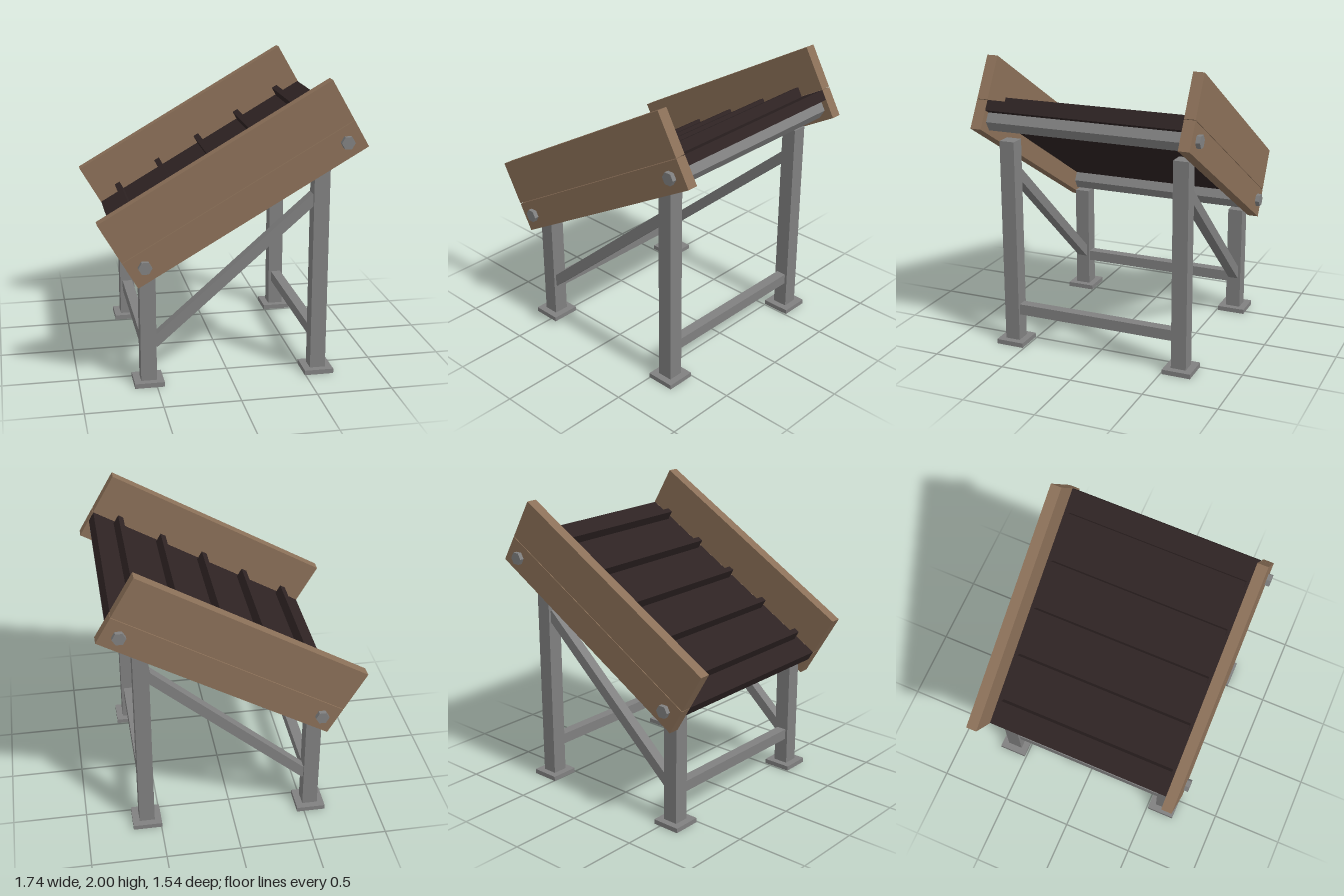
import * as THREE from 'three';

export function createModel() {
  const model = new THREE.Group();
  const paint = (name, color) => {
    const m = new THREE.MeshStandardMaterial({ color, flatShading: true });
    m.name = name;
    return m;
  };
  const wood = paint('wood', 0x8b7058);
  const steel = paint('steel', 0x808080);
  const rubber = paint('rubber', 0x2e2323);

  function add(parent, name, geometry, material, x, y, z) {
    const mesh = new THREE.Mesh(geometry, material);
    mesh.name = name;
    mesh.position.set(x, y, z);
    parent.add(mesh);
    return mesh;
  }
  const box = (w, h, d) => new THREE.BoxGeometry(w, h, d);
  // six-sided bar lying along z
  const hexBar = (r, length) => new THREE.CylinderGeometry(r, r, length, 6).rotateX(Math.PI / 2);

  // Sloping bed, built level and then tilted
  const bed = new THREE.Group();
  bed.name = 'conveyorBed';
  bed.position.y = 1.352;
  bed.rotation.z = Math.PI / 6;
  model.add(bed);

  add(bed, 'belt', box(1.71, 0.07, 1.34), rubber, 0, -0.085, 0);
  for (let i = -2; i <= 2; i++) {
    add(bed, 'cleat', box(0.04, 0.08, 1.26), rubber, i * 0.34, -0.02, 0);
  }

  for (const end of [-1, 1]) {
    add(bed, 'roller', hexBar(0.072, 1.34), steel, end * 0.75, -0.15, 0);
  }

  // Side boards of two planks each, with bolt heads outside
  for (const side of [-1, 1]) {
    add(bed, 'lowerPlank', box(1.715, 0.198, 0.074), wood, 0, -0.151, side * 0.705);
    add(bed, 'upperPlank', box(1.715, 0.298, 0.074), wood, 0, 0.101, side * 0.705);
    for (const end of [-1, 1]) {
      add(bed, 'bolt', hexBar(0.045, 0.06), steel, end * 0.75, -0.15, side * 0.742);
    }
  }

  // Frame: legs with foot plates, joined by cross bars and diagonal braces
  const frame = new THREE.Group();
  frame.name = 'frame';
  model.add(frame);
  const legs = [[-0.548, 0.775, 'shortLeg'], [0.593, 1.437, 'tallLeg']];
  for (const [x, height, name] of legs) {
    for (const side of [-1, 1]) {
      add(frame, name, box(0.104, height, 0.104), steel, x, height / 2, side * 0.608);
      add(frame, 'footPlate', box(0.196, 0.032, 0.196), steel, x, 0.016, side * 0.608);
    }
    add(frame, 'crossBar', box(0.07, 0.074, 1.16), steel, x, 0.253, 0);
  }
  for (const side of [-1, 1]) {
    const brace = add(frame, 'brace', box(1.42, 0.07, 0.07), steel, 0.0225, 0.75, side * 0.608);
    brace.rotation.z = Math.atan2(0.905, 1.035);
  }
  return model;
}
